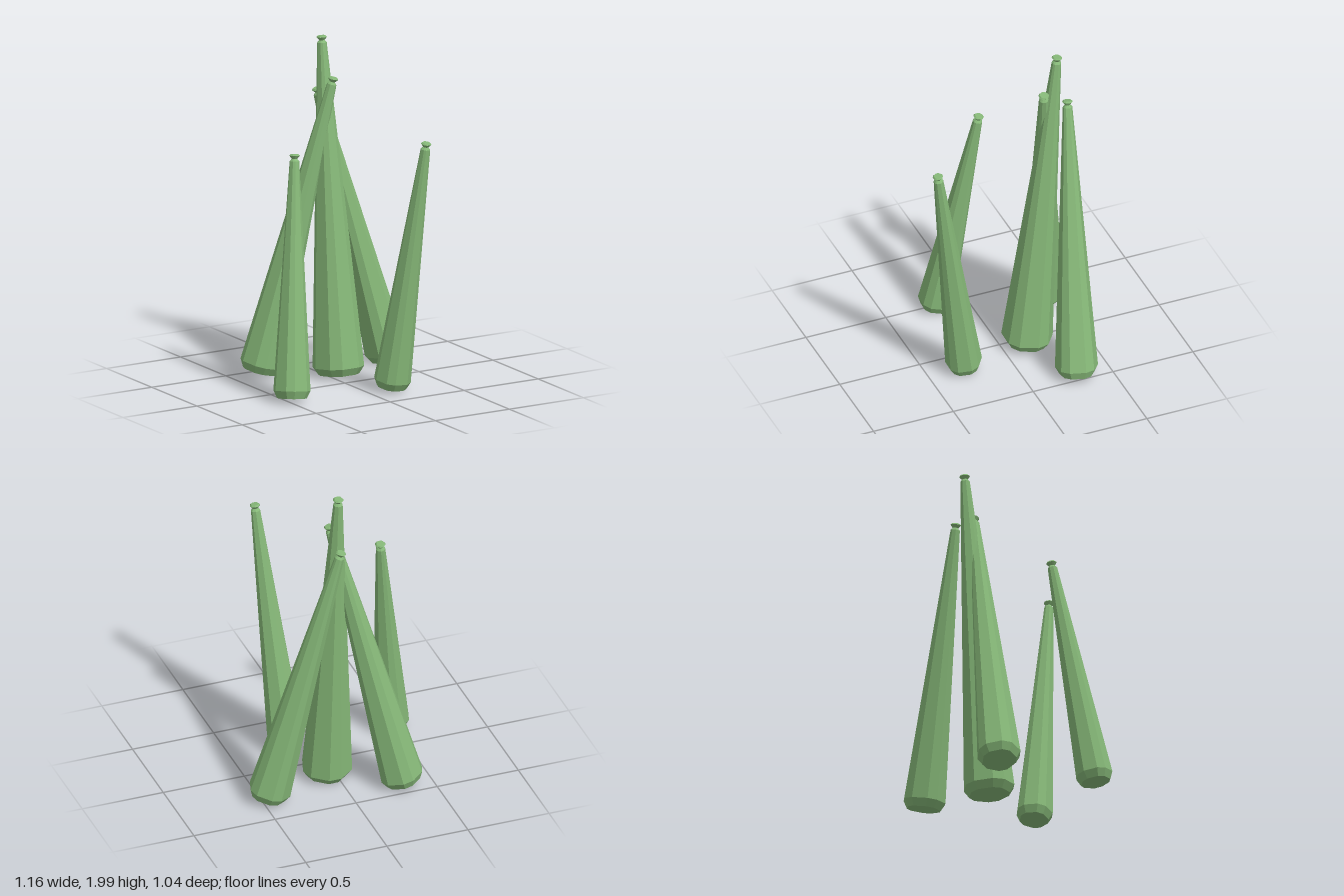
import * as THREE from 'three';

const material = new THREE.MeshStandardMaterial({ color: 0x86b878, flatShading: true });

// Five-sided pod with bevelled corners, built along +y from its base to its cap
function podGeometry(length, radius) {
  const profile = [
    [0, 0], [radius * 0.8, 0],                 // flat base
    [radius, 0.045],                           // base chamfer up to the widest ring
    [0.028, length - 0.04],                    // long taper
    [0.016, length - 0.026],                   // pinched neck
    [0.031, length - 0.008], [0.024, length],  // flared cap
    [0, length],
  ].map(([r, y]) => new THREE.Vector2(r, y));
  const lathe = new THREE.LatheGeometry(profile, 10);
  const pos = lathe.attributes.position;
  // Respace the ten corners so that wide faces alternate with narrow bevels
  for (let i = 0; i < pos.count; i++) {
    const seg = Math.floor(i / profile.length);
    const r = profile[i % profile.length].x;
    const angle = THREE.MathUtils.degToRad(72 * Math.floor(seg / 2) + (seg % 2 ? 22 : -22));
    pos.setX(i, r * Math.sin(angle));
    pos.setZ(i, r * Math.cos(angle));
  }
  const geometry = lathe.toNonIndexed();
  geometry.computeVertexNormals();
  return geometry;
}

// A pod leaning from its base centre to its tip
function makePod(name, base, tip, radius) {
  const from = new THREE.Vector3(...base);
  const axis = new THREE.Vector3(...tip).sub(from);
  const pod = new THREE.Mesh(podGeometry(axis.length(), radius), material);
  pod.name = name;
  pod.position.copy(from);
  pod.quaternion.setFromUnitVectors(new THREE.Vector3(0, 1, 0), axis.normalize());
  return pod;
}

export function createModel() {
  const group = new THREE.Group();
  group.name = 'podCluster';
  const pods = [
    ['tallCentrePod', [0.05, 0.025, -0.148], [0.05, 1.997, -0.34], 0.15],
    ['backRightPod', [-0.325, 0.035, -0.405], [0.073, 1.765, -0.247], 0.128],
    ['backLeftPod', [0.465, 0.032, -0.288], [0.055, 1.672, -0.402], 0.125],
    ['frontRightPod', [-0.48, 0.028, 0.2], [-0.333, 1.415, -0.012], 0.108],
    ['frontLeftPod', [0.144, 0.03, 0.28], [0.25, 1.517, 0.492], 0.107],
  ];
  for (const pod of pods) group.add(makePod(...pod));
  return group;
}
